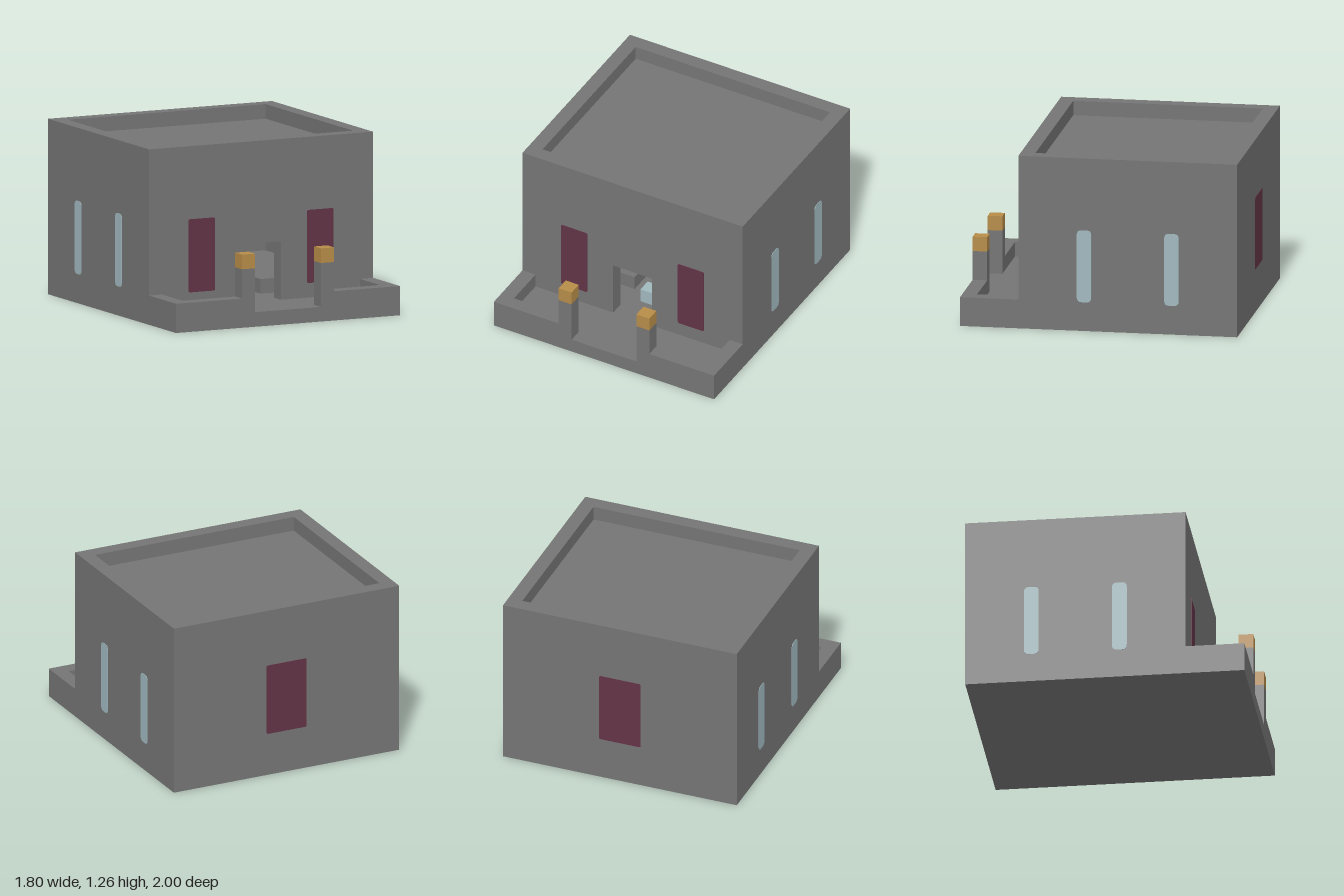
import * as THREE from 'three';

const U = 2 / 19; // one building block

export function createModel() {
  const group = new THREE.Group();
  const mat = (name, color) => {
    const m = new THREE.MeshStandardMaterial({ color });
    m.name = name;
    return m;
  };
  const stone = mat('grey stone', 0x757575);
  const maroon = mat('maroon glass', 0x633446);
  const blue = mat('pale blue glass', 0xa0b8be);
  const gold = mat('gold lamp', 0xb68c48);

  const add = (name, geometry, material) => {
    const mesh = new THREE.Mesh(geometry, material);
    mesh.name = name;
    group.add(mesh);
    return mesh;
  };

  // Box given by its limits, in blocks
  const box = (name, material, x0, x1, y0, y1, z0, z1) => {
    const g = new THREE.BoxGeometry((x1 - x0) * U, (y1 - y0) * U, (z1 - z0) * U);
    g.translate((x0 + x1) / 2 * U, (y0 + y1) / 2 * U, (z0 + z1) / 2 * U);
    return add(name, g, material);
  };

  // Thin pane with rounded corners, centred on its own origin
  const T = 0.006;
  const paneGeometry = (w, h, r) => {
    const a = w / 2, b = h / 2;
    const s = new THREE.Shape();
    s.moveTo(-a + r, -b);
    s.lineTo(a - r, -b);
    s.quadraticCurveTo(a, -b, a, -b + r);
    s.lineTo(a, b - r);
    s.quadraticCurveTo(a, b, a - r, b);
    s.lineTo(-a + r, b);
    s.quadraticCurveTo(-a, b, -a, b - r);
    s.lineTo(-a, -b + r);
    s.quadraticCurveTo(-a, -b, -a + r, -b);
    const g = new THREE.ExtrudeGeometry(s, { depth: T, bevelEnabled: false, curveSegments: 5 });
    return g.translate(0, 0, -T / 2);
  };

  // Base, hall walls and sunken roof
  box('floorSlab', stone, -8.5, 8.5, 0, 1, -9.5, 9.5);
  box('backWall', stone, -8.5, 8.5, 1, 12, -9.5, -8.5);
  for (const s of [-1, 1]) box('sideWall', stone, s * 8 - 0.5, s * 8 + 0.5, 1, 12, -8.5, 4.5);
  box('roof', stone, -7.5, 7.5, 10, 11, -8.5, 4.5);

  // Front wall with a doorway
  const outline = [[-8.5, 1], [-1.5, 1], [-1.5, 5], [1.5, 5], [1.5, 1], [8.5, 1], [8.5, 12], [-8.5, 12]];
  const wall = new THREE.Shape(outline.map(([x, y]) => new THREE.Vector2(x * U, y * U)));
  const wallGeometry = new THREE.ExtrudeGeometry(wall, { depth: U, bevelEnabled: false });
  add('frontWall', wallGeometry.translate(0, 0, 4.5 * U), stone);

  // Terrace walls, gate posts with lamps, and raised platforms beside the aisle
  for (const s of [-1, 1]) {
    const span = (a, b) => (s > 0 ? [a, b] : [-b, -a]);
    box('terraceSideWall', stone, ...span(7.5, 8.5), 1, 2, 5.5, 8.5);
    box('terraceFrontWall', stone, ...span(3.5, 8.5), 1, 2, 8.5, 9.5);
    box('gatePost', stone, ...span(2.5, 3.5), 1, 4, 8.5, 9.5);
    box('gateLamp', gold, ...span(2.5, 3.5), 4, 5, 8.5, 9.5);
    box('innerPlatform', stone, ...span(1.5, 7.5), 1, 2, -8.5, 2.5);
  }
  box('innerBlock', blue, -0.5, 0.5, 1, 2, 2.5, 3.5);

  // Windows, with a pane on the outer and inner face of each wall
  const frontPane = paneGeometry(2 * U, 5 * U, 0.012);
  const backPane = paneGeometry(3 * U, 5 * U, 0.012);
  const sidePane = paneGeometry(U, 5 * U, 0.035);
  for (const s of [-1, 1]) {
    for (const z of [5.5, 4.5]) {
      add('frontWindow', frontPane, maroon).position.set(s * 4.5 * U, 4.5 * U, z * U);
    }
    for (const z of [1, -5]) {
      for (const x of [8.5, 7.5]) {
        const pane = add('sideWindow', sidePane, blue);
        pane.position.set(s * x * U, 4.5 * U, z * U);
        pane.rotation.y = Math.PI / 2;
      }
    }
  }
  for (const z of [-9.5, -8.5]) add('backWindow', backPane, maroon).position.set(0, 5.5 * U, z * U);

  return group;
}
